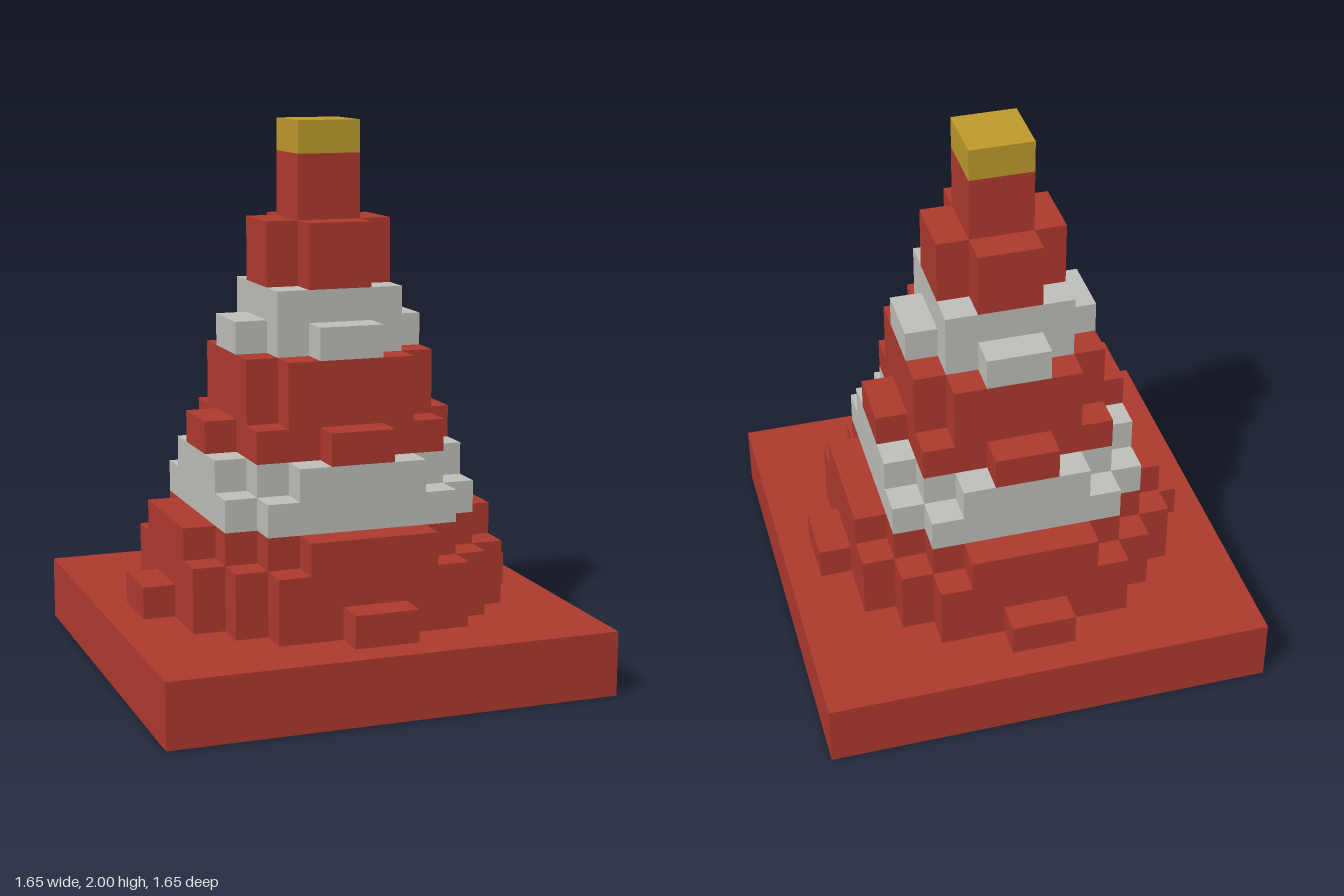
import * as THREE from 'three';

const U = 2 / 17; // edge of one block

// Outline of all blocks whose centres lie within a radius (four mirrored quadrants)
function blockDisc(radius) {
  const widths = [];
  for (let row = 0; row + 0.5 < radius; row++) {
    let w = 0;
    while (Math.hypot(w + 0.5, row + 0.5) <= radius) w++;
    if (w > 0) widths.push(w);
  }
  const quadrant = [];
  widths.forEach((w, row) => {
    if (row > 0 && w !== widths[row - 1]) quadrant.push([w, row]);
    if (w !== widths[row + 1]) quadrant.push([w, row + 1]);
  });
  const points = [];
  for (let q = 0; q < 4; q++) {
    for (const [x, y] of quadrant) {
      const turned = [[x, y], [-y, x], [-x, -y], [y, -x]][q];
      points.push(new THREE.Vector2(turned[0] * U, turned[1] * U));
    }
  }
  return new THREE.Shape(points);
}

export function createModel() {
  const material = (name, color) => {
    const m = new THREE.MeshStandardMaterial({ color });
    m.name = name;
    return m;
  };
  const red = material('brick red', 0xb03a2e);
  const pale = material('pale grey', 0xc0c0bb);
  const gold = material('gold', 0xc09c2c);

  const group = new THREE.Group();
  group.name = 'steppedTower';

  // Square base slab
  const base = new THREE.Mesh(new THREE.BoxGeometry(14 * U, 2 * U, 14 * U), red);
  base.name = 'base';
  base.position.y = U;
  group.add(base);

  // Tapering tiers: name, first layer, layer count, radius in blocks, material
  const tiers = [
    ['lowerTier1', 2, 1, 5.6, red],
    ['lowerTier2', 3, 1, 5.25, red],
    ['lowerTier3', 4, 1, 4.88, red],
    ['lowerBand1', 5, 1, 4.48, pale],
    ['lowerBand2', 6, 1, 4.1, pale],
    ['middleTier1', 7, 1, 3.7, red],
    ['middleTier2', 8, 2, 3.1, red],
    ['upperBand1', 10, 1, 2.65, pale],
    ['upperBand2', 11, 1, 2.25, pale],
    ['upperTier', 12, 2, 1.8, red],
    ['spire', 14, 2, 1.2, red],
    ['cap', 16, 1, 1.2, gold],
  ];
  for (const [name, start, count, radius, mat] of tiers) {
    const geometry = new THREE.ExtrudeGeometry(blockDisc(radius), { depth: count * U, bevelEnabled: false });
    geometry.rotateX(-Math.PI / 2);
    const tier = new THREE.Mesh(geometry, mat);
    tier.name = name;
    tier.position.y = start * U;
    group.add(tier);
  }
  return group;
}
